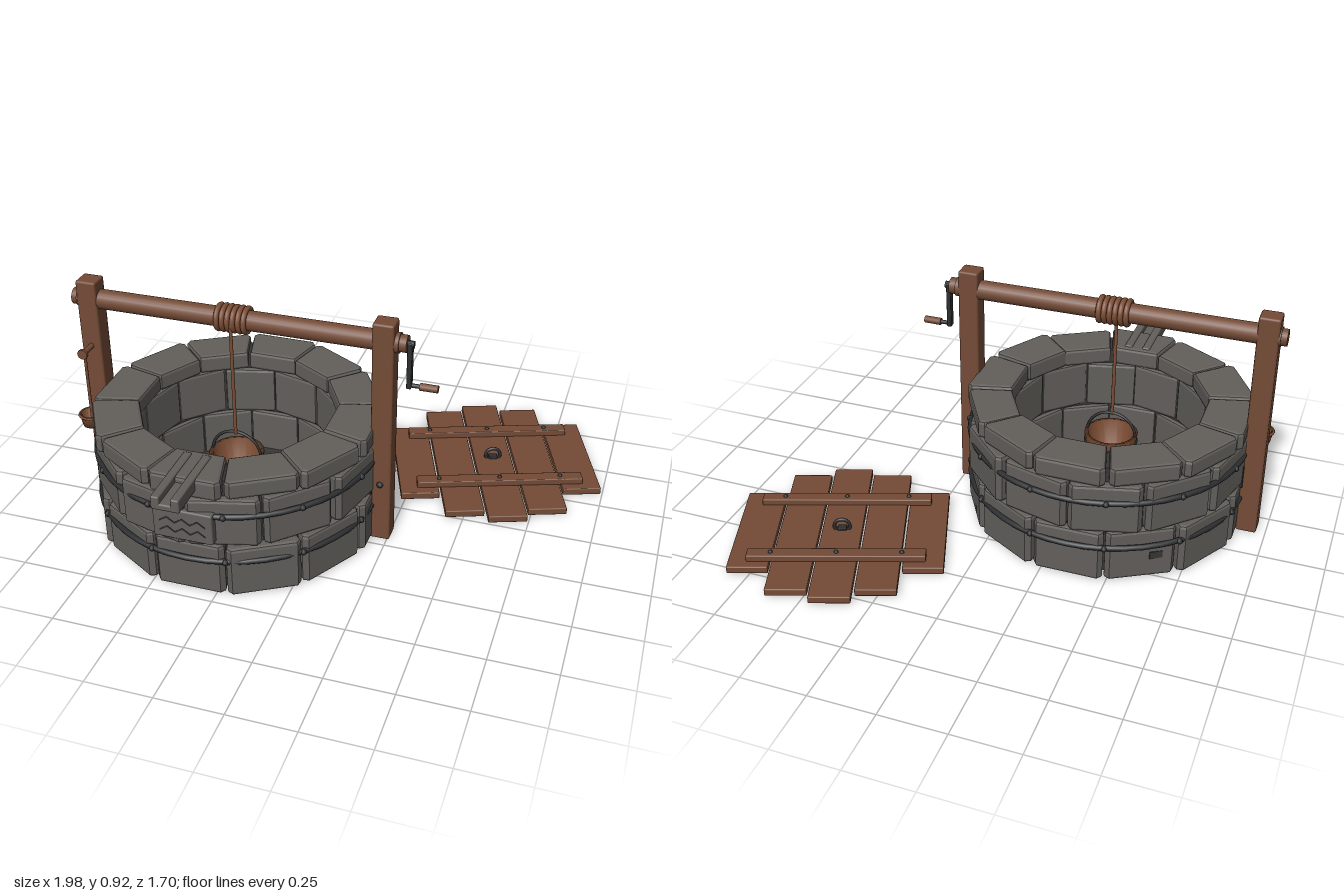
import * as THREE from 'three';
import { RoundedBoxGeometry } from 'three/addons/geometries/RoundedBoxGeometry.js';

const paint = (name, color, side = THREE.FrontSide) => {
  const m = new THREE.MeshStandardMaterial({ color, side });
  m.name = name;
  return m;
};

export function createModel() {
  const stone = paint('stone', 0x625f5b);
  const mortar = paint('mortar', 0x383736);
  const wood = paint('wood', 0x744b36);
  const woodOpen = paint('bucketWood', 0x7a4c33, THREE.DoubleSide);
  const rope = paint('rope', 0x7d4e36);
  const metal = paint('iron', 0x2c2e30);

  const model = new THREE.Group();
  model.name = 'well';
  const CX = -0.35, CZ = 0.175;

  let seed = 7;
  const rand = () => (seed = (seed * 16807) % 2147483647) / 2147483647;

  const add = (parent, name, geo, mat, x = 0, y = 0, z = 0) => {
    const m = new THREE.Mesh(geo, mat);
    m.name = name;
    m.position.set(x, y, z);
    parent.add(m);
    return m;
  };
  // box given by its extents
  const box = (parent, name, mat, x0, x1, y0, y1, z0, z1, r = 0.006) =>
    add(parent, name, new RoundedBoxGeometry(x1 - x0, y1 - y0, z1 - z0, 1, r), mat,
      (x0 + x1) / 2, (y0 + y1) / 2, (z0 + z1) / 2);
  const rodX = (parent, name, mat, r, x0, x1, y, z, sides = 16) => {
    const g = new THREE.CylinderGeometry(r, r, x1 - x0, sides).rotateZ(Math.PI / 2);
    return add(parent, name, g, mat, (x0 + x1) / 2, y, z);
  };

  // Stone wall: three courses of twelve bevelled wedge stones
  const wall = new THREE.Group();
  wall.name = 'stoneWall';
  wall.position.set(CX, 0, CZ);
  model.add(wall);
  const wedge = (rIn, rOut, height) => {
    const h = Math.PI / 12 - 0.008, b = 0.012;
    const polar = [[rIn, -h], [rOut - 0.016, -h], [rOut, -h + 0.035],
      [rOut, h - 0.035], [rOut - 0.016, h], [rIn, h]];
    const shape = new THREE.Shape(polar.map(([r, a]) =>
      new THREE.Vector2(r * Math.cos(a), r * Math.sin(a))));
    return new THREE.ExtrudeGeometry(shape, {
      depth: height - 2 * b, bevelSize: b, bevelThickness: b, bevelOffset: -b, bevelSegments: 2
    }).translate(0, 0, b).rotateX(-Math.PI / 2);
  };
  [[0.005, 0.21, 0, 0.385], [0.215, 0.41, 0.5, 0.385], [0.415, 0.49, 0, 0.375]].forEach(([y0, y1, shift, rIn], c) => {
    for (let i = 0; i < 12; i++) {
      const g = wedge(rIn + rand() * 0.006, 0.54 + rand() * 0.015, y1 - y0 + (rand() - 0.5) * 0.008);
      const s = add(wall, `stoneCourse${c + 1}`, g, stone, 0, y0, 0);
      s.rotation.y = (i + shift) * Math.PI / 6 + (rand() - 0.5) * 0.015;
    }
  });

  // Mortar core and dark floor
  const core = new THREE.Shape().absarc(0, 0, 0.5, 0, Math.PI * 2);
  core.holes.push(new THREE.Path().absarc(0, 0, 0.397, 0, Math.PI * 2, true));
  add(wall, 'mortarCore', new THREE.ExtrudeGeometry(core, { depth: 0.45, bevelEnabled: false, curveSegments: 24 })
    .rotateX(-Math.PI / 2), mortar, 0, 0.02, 0);
  add(wall, 'floor', new THREE.CylinderGeometry(0.4, 0.4, 0.02, 24), mortar, 0, 0.025, 0);

  // Iron bands with rivets
  for (const y of [0.15, 0.345]) {
    add(wall, 'ironBand', new THREE.TorusGeometry(0.541, 0.011, 8, 48).rotateX(Math.PI / 2), metal, 0, y, 0);
    for (let i = 0; i < 12; i++) {
      const a = (i + 0.5) * Math.PI / 6;
      add(wall, 'bandRivet', new THREE.SphereGeometry(0.012, 8, 6), metal,
        0.547 * Math.cos(a), y, 0.547 * Math.sin(a));
    }
  }

  // Dark weathered patches
  for (const [a, y, w, h] of [[0.5, 0.04, 0.11, 0.04], [0.05, 0.27, 0.08, 0.02], [0.37, 0.38, 0.05, 0.025], [2.2, 0.1, 0.05, 0.03]]) {
    const p = add(wall, 'weatheredPatch', new THREE.BoxGeometry(0.008, h, w), mortar,
      0.53 * Math.cos(a), y, -0.53 * Math.sin(a));
    p.rotation.y = a;
  }

  // Spout: a floor with two raised sides
  box(model, 'spoutFloor', stone, -0.405, -0.3, 0.445, 0.47, 0.56, 0.85);
  for (const x of [-0.405, -0.332]) box(model, 'spoutSide', stone, x, x + 0.032, 0.455, 0.497, 0.56, 0.85);

  // Front plaque with two carved waves
  box(model, 'plaque', stone, -0.465, -0.24, 0.235, 0.36, 0.68, 0.728);
  for (const y of [0.275, 0.315]) {
    const top = [], bottom = [];
    for (let i = 0; i <= 6; i++) {
      const x = -0.44 + i * 0.029, v = y + (i % 2 ? 0.01 : -0.01);
      top.push(new THREE.Vector2(x, v + 0.003));
      bottom.unshift(new THREE.Vector2(x, v - 0.003));
    }
    add(model, 'carvedWave', new THREE.ExtrudeGeometry(new THREE.Shape([...top, ...bottom]),
      { depth: 0.003, bevelEnabled: false }), mortar, 0, 0, 0.727);
  }

  // Posts with bolts and brackets
  for (const [x, side] of [[-0.925, 1], [0.22, -1]]) {
    box(model, 'post', wood, x - 0.04, x + 0.04, 0, 0.92, 0.137, 0.215, 0.008);
    const bx = x + side * 0.045;
    box(model, 'postBracket', metal, bx - 0.015, bx + 0.015, 0.2, 0.3, 0.13, 0.225, 0.003);
    add(model, 'postBolt', new THREE.SphereGeometry(0.013, 10, 6), metal, x, 0.25, 0.215);
  }

  // Windlass roller, rope coil and hanging rope
  rodX(model, 'roller', wood, 0.038, -0.97, 0.275, 0.84, CZ, 20);
  rodX(model, 'rollerEnd', wood, 0.032, -0.992, 0.302, 0.84, CZ, 20);
  for (let i = 0; i < 6; i++) {
    add(model, 'ropeCoil', new THREE.TorusGeometry(0.044, 0.011, 8, 24).rotateY(Math.PI / 2), rope,
      -0.405 + i * 0.021, 0.84, CZ);
  }
  add(model, 'hangingRope', new THREE.CylinderGeometry(0.007, 0.007, 0.47, 8), rope, CX, 0.605, 0.217);

  // Crank
  rodX(model, 'crankAxle', metal, 0.014, 0.29, 0.325, 0.84, CZ);
  box(model, 'crankArm', metal, 0.302, 0.32, 0.665, 0.85, 0.16, 0.19, 0.004);
  rodX(model, 'crankPin', metal, 0.008, 0.31, 0.37, 0.675, CZ);
  rodX(model, 'crankGrip', wood, 0.014, 0.35, 0.417, 0.675, CZ, 12);

  // Open vessel with a thick wall
  const vessel = (r0, r1, h, t) => new THREE.LatheGeometry(
    [[0, 0], [r0, 0], [r1, h], [r1 - t, h], [r0 - t, t], [0, t]].map(p => new THREE.Vector2(...p)), 20);

  // Bucket
  const bucket = new THREE.Group();
  bucket.name = 'bucket';
  bucket.position.set(CX, 0.13, 0.215);
  model.add(bucket);
  add(bucket, 'bucketBody', vessel(0.082, 0.106, 0.16, 0.016), woodOpen);
  for (const [y, r] of [[0.04, 0.088], [0.125, 0.101]]) {
    add(bucket, 'bucketHoop', new THREE.TorusGeometry(r, 0.006, 6, 24).rotateX(Math.PI / 2), metal, 0, y, 0);
  }
  add(bucket, 'bucketHandle', new THREE.TorusGeometry(0.098, 0.006, 6, 20, Math.PI), metal, 0, 0.15, 0);

  // Ladle hanging from a peg on the left post
  add(model, 'ladlePeg', new THREE.CylinderGeometry(0.011, 0.011, 0.08, 10).rotateX(Math.PI / 2), wood, -0.925, 0.655, 0.25);
  add(model, 'pegHead', new THREE.CylinderGeometry(0.02, 0.02, 0.012, 14).rotateX(Math.PI / 2), wood, -0.925, 0.655, 0.286);
  add(model, 'ladleHandle', new THREE.CylinderGeometry(0.006, 0.006, 0.29, 8), wood, -0.925, 0.51, 0.272);
  add(model, 'ladleCup', vessel(0.034, 0.044, 0.05, 0.008), woodOpen, -0.928, 0.338, 0.272);
  add(model, 'ladleRim', new THREE.TorusGeometry(0.044, 0.005, 6, 20).rotateX(Math.PI / 2), wood, -0.928, 0.385, 0.272);

  // Lid lying on the ground
  const lid = new THREE.Group();
  lid.name = 'lid';
  lid.position.set(0.533, 0, -0.42);
  lid.rotation.y = 0.345;
  model.add(lid);
  [0.49, 0.745, 0.83, 0.745, 0.485].forEach((len, i) => {
    const x = (i - 2) * 0.163;
    box(lid, 'lidPlank', wood, x - 0.077, x + 0.077, 0.003, 0.032, -len / 2, len / 2, 0.004);
  });
  for (const z of [-0.182, 0.182]) {
    box(lid, 'lidBatten', wood, -0.335, 0.335, 0.03, 0.057, z - 0.026, z + 0.026, 0.004);
    for (const x of [-0.245, 0, 0.245]) {
      add(lid, 'lidNail', new THREE.SphereGeometry(0.009, 8, 6), metal, x, 0.057, z);
    }
  }
  add(lid, 'lidRing', new THREE.TorusGeometry(0.03, 0.007, 8, 20), metal, 0, 0.045, 0);
  box(lid, 'ringMount', metal, -0.018, 0.018, 0.03, 0.042, -0.014, 0.014, 0.003);

  return model;
}
